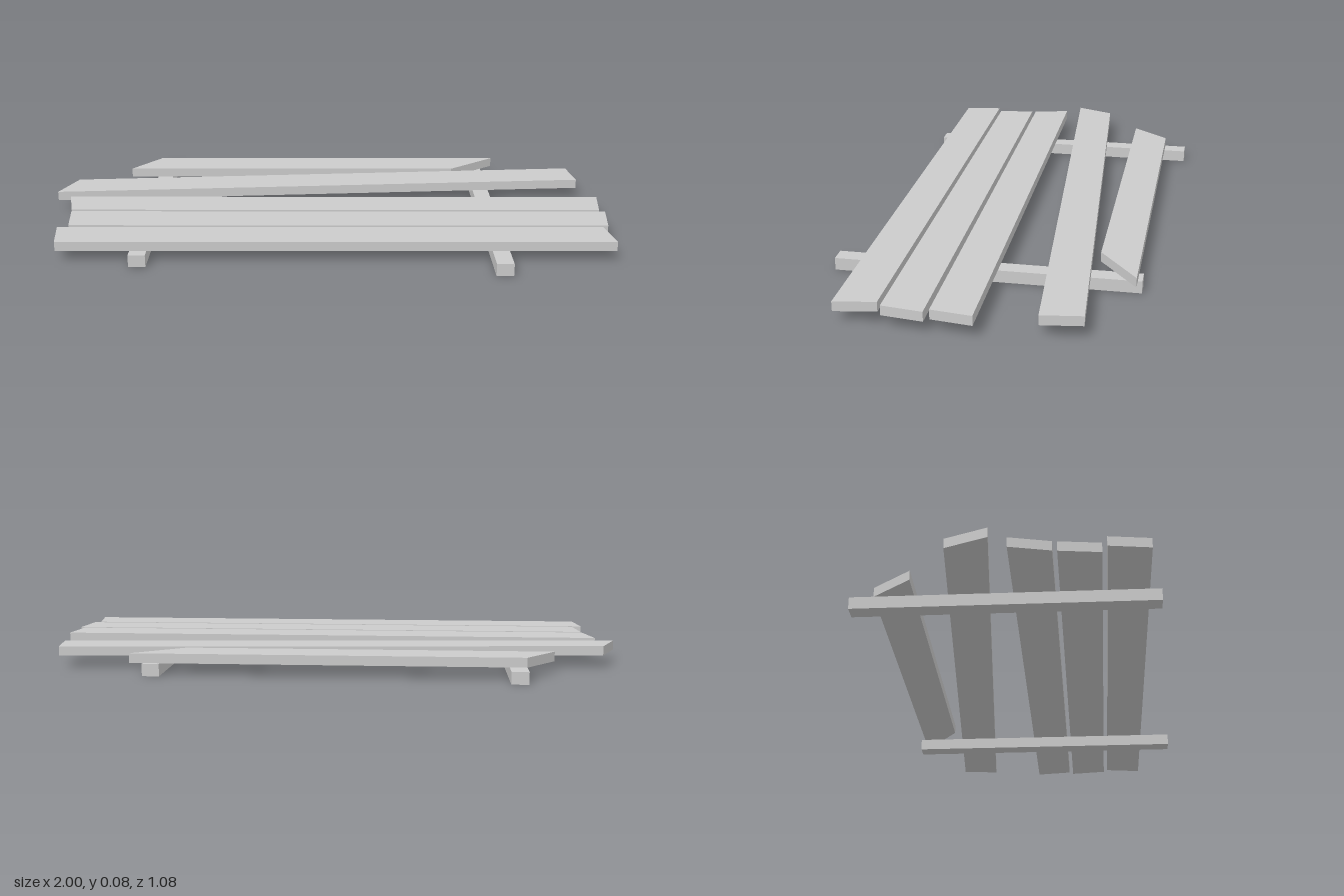
import * as THREE from 'three';

const RAIL_H = 0.042;
const PLANK_H = 0.033;

export function createModel() {
  const group = new THREE.Group();
  const material = new THREE.MeshStandardMaterial({ color: 0xcccccc, flatShading: true });

  function add(name, geometry) {
    const mesh = new THREE.Mesh(geometry, material);
    mesh.name = name;
    group.add(mesh);
    return mesh;
  }

  // Two square rails lying on the ground, running front to back
  function rail(name, x, zBack, zFront) {
    add(name, new THREE.BoxGeometry(0.058, RAIL_H, zFront - zBack))
      .position.set(x, RAIL_H / 2, (zBack + zFront) / 2);
  }
  rail('rightRail', -0.632, -0.54, 0.468);
  rail('leftRail', 0.592, -0.475, 0.54);

  // Planks with skewed ends; corners as [x, z]: back right, back left, front left, front right
  function plank(name, corners) {
    const shape = new THREE.Shape(corners.map(([x, z]) => new THREE.Vector2(x, -z)));
    const geometry = new THREE.ExtrudeGeometry(shape, { depth: PLANK_H, bevelEnabled: false });
    geometry.rotateX(-Math.PI / 2);
    add(name, geometry).position.y = RAIL_H;
  }
  plank('shortBackPlank', [[-0.66, -0.46], [0.667, -0.46], [0.495, -0.328], [-0.763, -0.328]]);
  plank('crookedPlank', [[-0.945, -0.198], [0.945, -0.333], [0.962, -0.198], [-1, -0.06]]);
  plank('middlePlank', [[-0.942, -0.008], [1, -0.008], [0.982, 0.127], [-0.912, 0.127]]);
  plank('innerFrontPlank', [[-0.91, 0.142], [1, 0.142], [0.982, 0.278], [-0.894, 0.278]]);
  plank('frontPlank', [[-0.93, 0.293], [0.962, 0.293], [0.982, 0.429], [-0.912, 0.429]]);

  return group;
}
